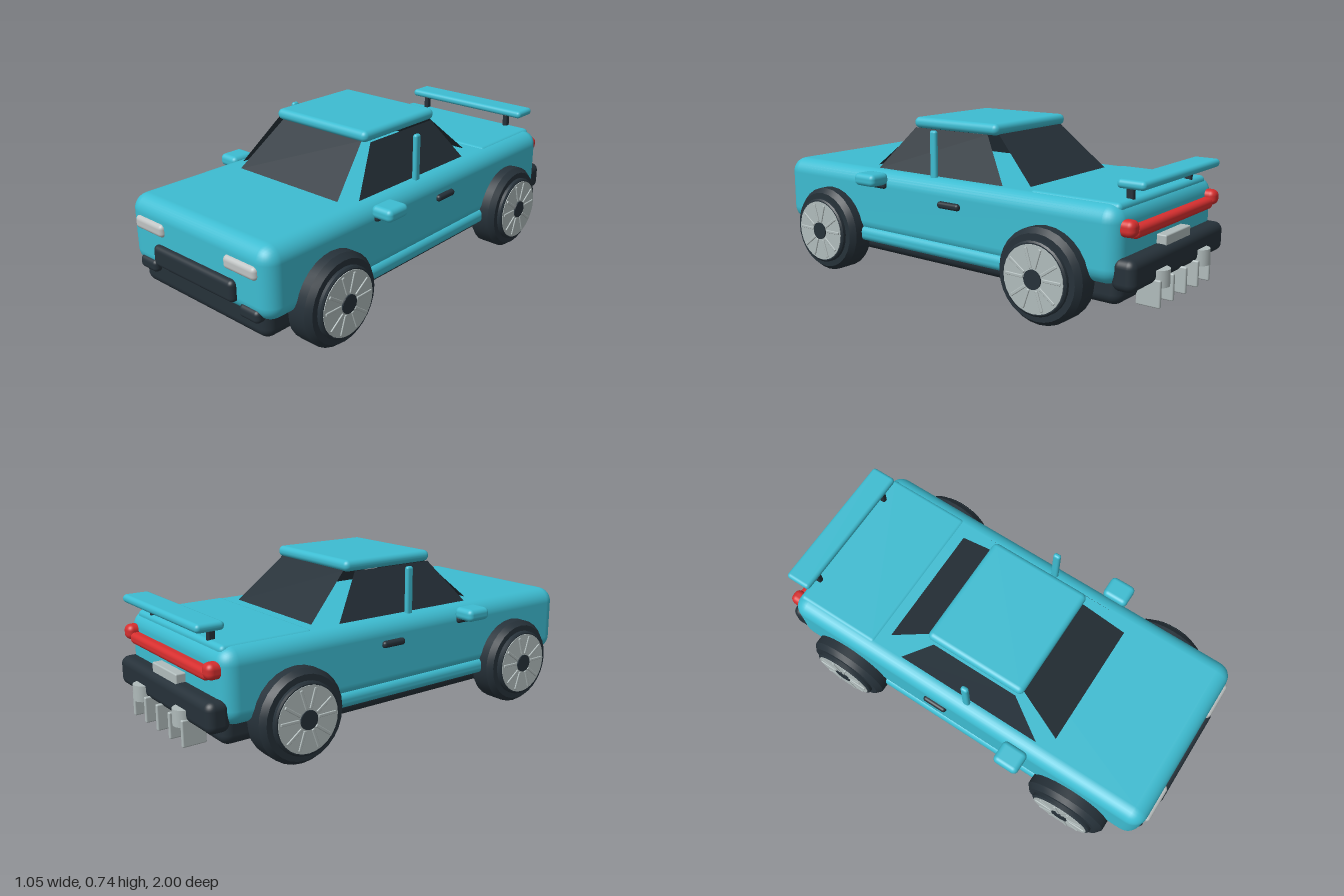
import * as THREE from 'three';
import { toCreasedNormals } from 'three/addons/utils/BufferGeometryUtils.js';
import { RoundedBoxGeometry } from 'three/addons/geometries/RoundedBoxGeometry.js';

const material = (name, color, extra = {}) => {
  const m = new THREE.MeshStandardMaterial({ color, ...extra });
  m.name = name;
  return m;
};

export function createModel() {
  const car = new THREE.Group();
  car.name = 'car';
  const paint = material('teal paint', 0x3dbcd1);
  const dark = material('dark trim', 0x263139);
  const glass = material('dark glass', 0x263139, { side: THREE.DoubleSide });
  const metal = material('light metal', 0xb0bbbb);
  const lamp = material('headlight grey', 0xbfc3c3);
  const red = material('tail light red', 0xd62f2f);

  const add = (name, geometry, mat, parent = car) => {
    const mesh = new THREE.Mesh(geometry, mat);
    mesh.name = name;
    parent.add(mesh);
    return mesh;
  };
  // Rounded box given by its extents on each axis
  const block = (name, mat, [x0, x1], [y0, y1], [z0, z1], r, parent = car) => {
    const mesh = add(name, new RoundedBoxGeometry(x1 - x0, y1 - y0, z1 - z0, 4, r), mat, parent);
    mesh.position.set((x0 + x1) / 2, (y0 + y1) / 2, (z0 + z1) / 2);
    return mesh;
  };
  // The same block on both sides
  const pair = (name, mat, [x0, x1], y, z, r) => {
    block(name + 'Left', mat, [x0, x1], y, z, r);
    block(name + 'Right', mat, [-x1, -x0], y, z, r);
  };

  // Body shell, chassis and sills
  block('body', paint, [-0.428, 0.428], [0.195, 0.507], [-0.9, 0.972], 0.068);
  block('trunkLid', paint, [-0.375, 0.375], [0.44, 0.512], [-0.88, -0.46], 0.02);
  block('chassis', dark, [-0.385, 0.385], [0.11, 0.3], [-0.89, 0.952], 0.045);
  pair('sill', paint, [0.36, 0.437], [0.165, 0.235], [-0.5, 0.56], 0.03);

  // Roof and its side posts
  block('roof', paint, [-0.267, 0.267], [0.695, 0.745], [-0.215, 0.265], 0.024);
  pair('roofPost', paint, [0.357, 0.381], [0.48, 0.71], [0.03, 0.065], 0.011);

  // Windows: four single leaning panes
  const pane = (name, corners) => {
    const g = new THREE.BufferGeometry();
    g.setAttribute('position', new THREE.Float32BufferAttribute(corners.flat(), 3));
    g.setIndex([0, 1, 2, 0, 2, 3]);
    g.computeVertexNormals();
    add(name, g, glass);
  };
  const low = 0.505, high = 0.7;
  pane('windshield', [[-0.295, low, 0.468], [0.295, low, 0.468], [0.235, high, 0.25], [-0.235, high, 0.25]]);
  pane('rearWindow', [[0.295, low, -0.418], [-0.295, low, -0.418], [-0.235, high, -0.205], [0.235, high, -0.205]]);
  pane('sideWindowLeft', [[0.355, low, 0.403], [0.355, low, -0.318], [0.275, high, -0.175], [0.275, high, 0.24]]);
  pane('sideWindowRight', [[-0.355, low, -0.318], [-0.355, low, 0.403], [-0.275, high, 0.24], [-0.275, high, -0.175]]);

  // Mirrors and door handles
  pair('mirror', paint, [0.414, 0.52], [0.45, 0.506], [0.28, 0.402], 0.022);
  pair('mirrorArm', dark, [0.4, 0.445], [0.432, 0.465], [0.285, 0.39], 0.014);
  pair('doorHandle', dark, [0.41, 0.446], [0.39, 0.42], [-0.147, -0.028], 0.013);

  // Front end
  pair('headlight', lamp, [0.186, 0.368], [0.372, 0.43], [0.93, 0.988], 0.02);
  block('grille', dark, [-0.246, 0.246], [0.24, 0.334], [0.93, 0.998], 0.022);
  pair('fogLight', dark, [0.258, 0.368], [0.19, 0.246], [0.92, 0.982], 0.02);

  // Rear end
  block('rearBumper', dark, [-0.41, 0.41], [0.18, 0.31], [-0.963, -0.86], 0.035);
  block('tailLightBar', red, [-0.34, 0.34], [0.375, 0.425], [-0.938, -0.87], 0.02);
  pair('tailLight', red, [0.325, 0.392], [0.388, 0.455], [-0.945, -0.86], 0.026);
  block('numberPlate', metal, [-0.11, 0.11], [0.295, 0.348], [-0.942, -0.89], 0.006);
  block('spoiler', paint, [-0.34, 0.34], [0.562, 0.598], [-0.96, -0.837], 0.017);
  pair('spoilerPost', dark, [0.24, 0.265], [0.49, 0.572], [-0.872, -0.84], 0.008);
  for (let i = -2; i <= 2; i++) {
    const x = i * 0.1125;
    block('diffuserFin', metal, [x - 0.009, x + 0.009], [0.087, 0.2], [-0.985, -0.88], 0.006);
  }
  for (const x of [-0.185, 0.185]) {
    add('exhaust', new THREE.CylinderGeometry(0.046, 0.046, 0.07, 20), metal).position.set(x, 0.202, -0.952);
  }

  // Wheels: outer face towards +x, turned round for the right side
  const profile = [[0, -0.07], [0.175, -0.07], [0.198, -0.045], [0.198, 0.045], [0.178, 0.07],
    [0.152, 0.07], [0.152, 0.084], [0.145, 0.09], [0, 0.09]].map(p => new THREE.Vector2(...p));
  const tyre = toCreasedNormals(new THREE.LatheGeometry(profile, 28).rotateZ(-Math.PI / 2), 0.5);
  const disc = (r, h) => new THREE.CylinderGeometry(r, r, h, 28).rotateZ(-Math.PI / 2);
  const spoke = new RoundedBoxGeometry(0.008, 0.085, 0.013, 2, 0.003);
  for (const side of [1, -1]) {
    for (const [name, z] of [['front', 0.645], ['rear', -0.587]]) {
      const wheel = new THREE.Group();
      wheel.name = name + 'Wheel' + (side > 0 ? 'Left' : 'Right');
      add('tyre', tyre, dark, wheel);
      add('rim', disc(0.14, 0.01), metal, wheel).position.x = 0.088;
      add('hub', disc(0.04, 0.014), dark, wheel).position.x = 0.092;
      // Five pairs of raised spokes
      for (let i = 0; i < 5; i++) {
        const arm = new THREE.Group();
        arm.name = 'spokePair';
        arm.rotation.x = (i * 2 * Math.PI) / 5;
        for (const s of [-1, 1]) {
          const bar = add('spoke', spoke, metal, arm);
          bar.position.set(0.094, 0.085, s * 0.022);
          bar.rotation.x = s * 0.3;
        }
        wheel.add(arm);
      }
      wheel.position.set(side * 0.425, 0.2, z);
      if (side < 0) wheel.rotation.y = Math.PI;
      car.add(wheel);
    }
  }
  return car;
}
